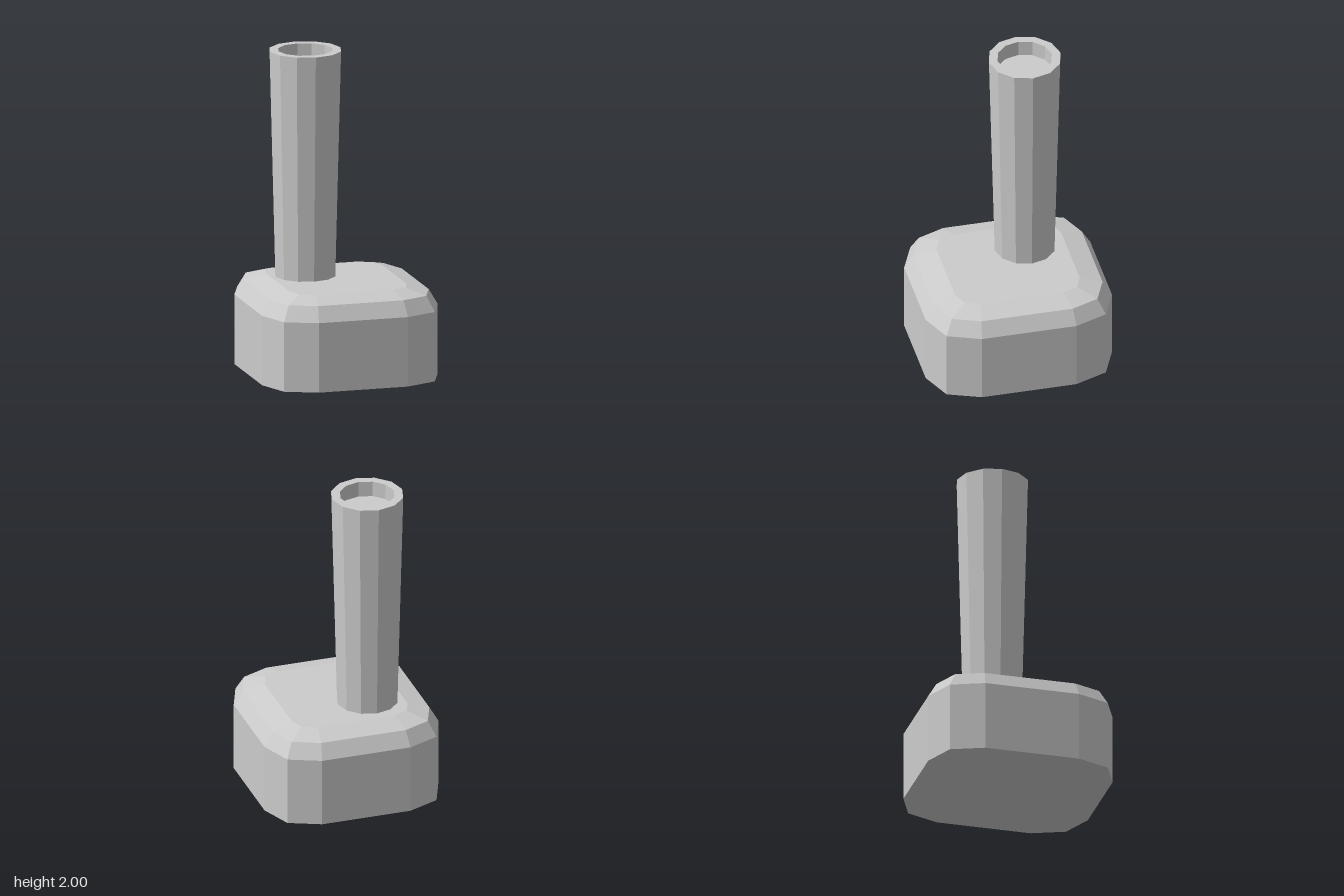
import * as THREE from 'three';

const grey = new THREE.MeshStandardMaterial({ color: 0xcccccc, flatShading: true });

// Mirrors three corner points [x, z] into a full 12-point ring at height y
function ring(y, corner) {
  const back = [...corner].reverse();
  const quarter = (pts, sx, sz) => pts.map(([x, z]) => new THREE.Vector3(x * sx, y, z * sz));
  return [
    ...quarter(corner, 1, 1), ...quarter(back, -1, 1),
    ...quarter(corner, -1, -1), ...quarter(back, 1, -1),
  ];
}

// Joins rings from bottom to top and caps both ends
function loft(rings) {
  const pts = [];
  const n = rings[0].length;
  for (let i = 0; i < n; i++) {
    const j = (i + 1) % n;
    for (let r = 0; r < rings.length - 1; r++) {
      const lo = rings[r], hi = rings[r + 1];
      pts.push(lo[i], hi[i], lo[j], lo[j], hi[i], hi[j]);
    }
    const bottom = rings[0], top = rings[rings.length - 1];
    pts.push(new THREE.Vector3(0, bottom[0].y, 0), bottom[i], bottom[j]);
    pts.push(new THREE.Vector3(0, top[0].y, 0), top[j], top[i]);
  }
  const geometry = new THREE.BufferGeometry().setFromPoints(pts);
  geometry.computeVertexNormals();
  return geometry;
}

export function createModel() {
  const model = new THREE.Group();
  model.name = 'chimney';

  // Rounded block with a bevelled shoulder and a shallow sloping top
  const outline = [[0.565, 0.3], [0.485, 0.505], [0.287, 0.59]];
  const base = new THREE.Mesh(loft([
    ring(0, outline),
    ring(0.44, outline),
    ring(0.535, [[0.51, 0.29], [0.443, 0.461], [0.275, 0.534]]),
    ring(0.572, [[0.376, 0.264], [0.343, 0.355], [0.25, 0.395]]),
  ]), grey);
  base.name = 'base';
  model.add(base);

  // Flared pipe with a shallow recess in its top
  const profile = [[0, 0.56], [0.19, 0.56], [0.227, 2], [0.172, 2], [0.172, 1.9], [0, 1.9]];
  const pipe = new THREE.Mesh(
    new THREE.LatheGeometry(profile.map(([r, y]) => new THREE.Vector2(r, y)), 12), grey);
  pipe.name = 'pipe';
  pipe.position.set(-0.155, 0, -0.143);
  model.add(pipe);

  return model;
}
